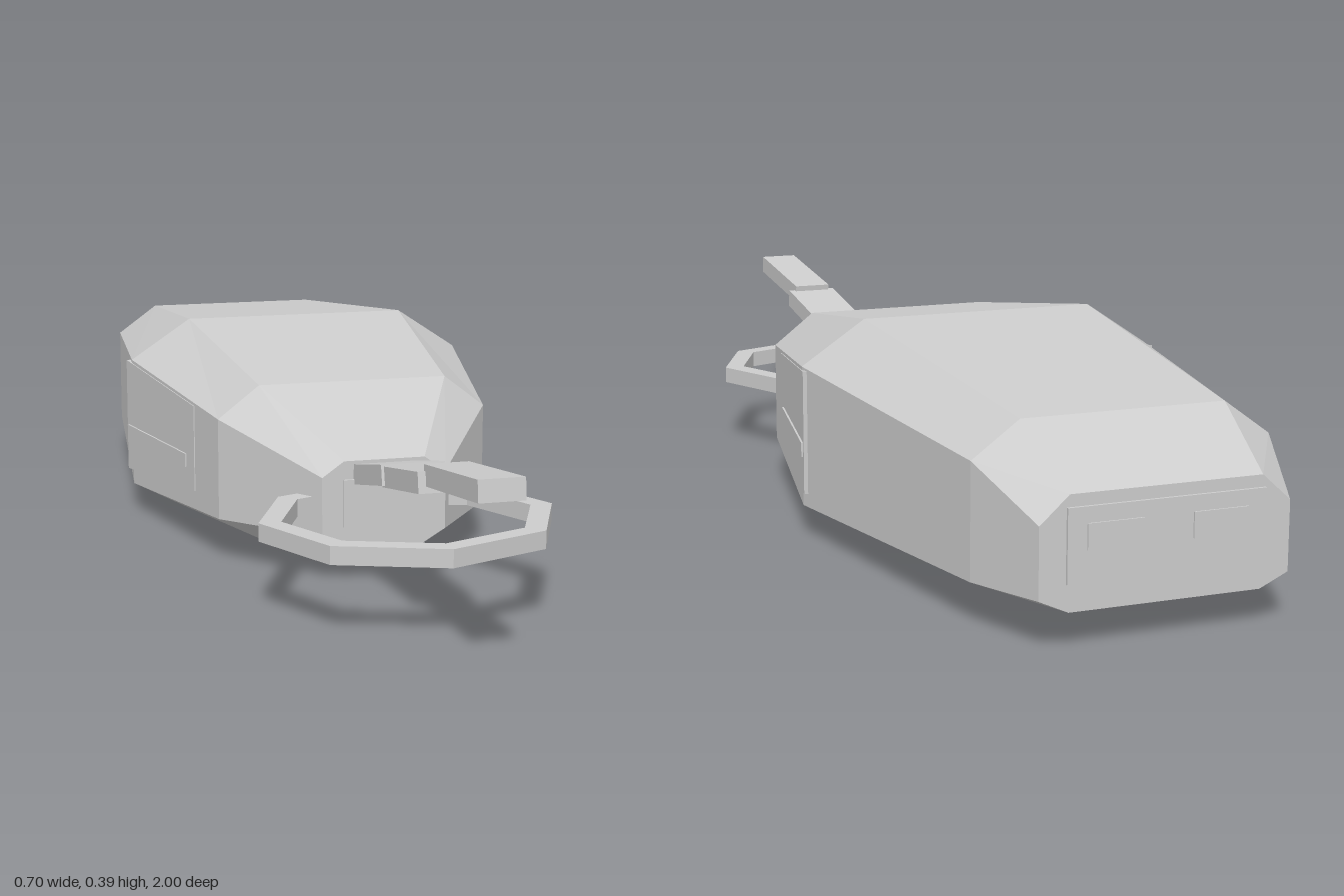
import * as THREE from 'three';

export function createModel() {
  const model = new THREE.Group();
  const grey = new THREE.MeshStandardMaterial({ color: 0xcccccc, flatShading: true });
  grey.name = 'light grey';

  function add(name, geometry) {
    const mesh = new THREE.Mesh(geometry, grey);
    mesh.name = name;
    model.add(mesh);
    return mesh;
  }
  function box(name, w, h, d, x, y, z) {
    const mesh = add(name, new THREE.BoxGeometry(w, h, d));
    mesh.position.set(x, y, z);
    return mesh;
  }

  // Joins closed sections (counter-clockwise seen from the first one) and caps the ends.
  // The diagonals of the two halves mirror each other.
  function loft(sections) {
    const n = sections[0].length, last = (sections.length - 1) * n, index = [];
    for (let s = 0; s < sections.length - 1; s++) {
      for (let j = 0; j < n; j++) {
        const a = s * n + j, b = s * n + (j + 1) % n;
        if (j < n / 2 - 1) index.push(a, a + n, b + n, a, b + n, b);
        else index.push(a, a + n, b, b, a + n, b + n);
      }
    }
    for (let j = 1; j < n - 1; j++) {
      index.push(0, j, j + 1, last, last + j + 1, last + j);
    }
    const g = new THREE.BufferGeometry();
    g.setAttribute('position', new THREE.Float32BufferAttribute(sections.flat(2), 3));
    g.setIndex(index);
    const flat = g.toNonIndexed();
    flat.computeVertexNormals();
    return flat;
  }

  // Faceted body: z, bottom half width, side half width, top half width, four heights
  const body = [
    [0.395, 0.072, 0.115, 0.075, 0.065, 0.09, 0.197, 0.225],
    [0.19, 0.18, 0.258, 0.18, 0.038, 0.081, 0.27, 0.33],
    [-0.24, 0.248, 0.341, 0.222, 0.007, 0.056, 0.312, 0.391],
    [-0.84, 0.18, 0.263, 0.18, 0.041, 0.075, 0.27, 0.33],
    [-0.992, 0.165, 0.215, 0.165, 0.06, 0.083, 0.2, 0.245],
  ].map(([z, b, s, t, y0, y1, y2, y3]) => [
    [b, y0, z], [s, y1, z], [s, y2, z], [t, y3, z],
    [-t, y3, z], [-s, y2, z], [-s, y1, z], [-b, y0, z],
  ]);
  add('body', loft(body));

  // Thin plates on the nose, underside and tail
  box('nosePlate', 0.154, 0.087, 0.008, 0, 0.148, 0.396);
  box('basePlate', 0.24, 0.009, 0.39, 0, 0.0045, -0.23);
  box('tailPlate', 0.34, 0.12, 0.008, 0, 0.165, -0.993);
  for (const x of [-0.09, 0.09]) {
    box('tailSlot', 0.095, 0.042, 0.004, x, 0.178, -0.998);
  }

  // Side panels and raised strips, lying along the tapering flanks
  const slope = Math.atan2(0.083, 0.43);
  for (const side of [1, -1]) {
    const panel = (lift) => {
      const corners = [
        [0.2795, 0.11, 0.08], [0.2795, 0.275, 0.08],
        [0.346, 0.308, -0.265], [0.346, 0.083, -0.265],
      ].map(([x, y, z]) => [side * (x + lift), y, z]);
      return side > 0 ? corners.reverse() : corners;
    };
    add('sidePanel', loft([panel(0.0015), panel(-0.006)]));

    const strip = box('sideStrip', 0.006, 0.026, 0.305, side * 0.3175, 0.163, -0.107);
    strip.rotation.y = -side * slope;
  }

  // Eight-sided ring lying flat
  const octagon = (path, rx, rz) => {
    for (let i = 0; i < 8; i++) {
      const a = i * Math.PI / 4;
      const x = rx * Math.cos(a), y = rz * Math.sin(a);
      if (i) path.lineTo(x, y); else path.moveTo(x, y);
    }
    path.closePath();
    return path;
  };
  const ringShape = octagon(new THREE.Shape(), 0.265, 0.245);
  ringShape.holes.push(octagon(new THREE.Path(), 0.225, 0.207));
  const ringGeometry = new THREE.ExtrudeGeometry(ringShape, { depth: 0.032, bevelEnabled: false });
  ringGeometry.rotateX(-Math.PI / 2);
  add('keyRing', ringGeometry).position.set(0, 0.128, 0.535);

  // Strap of three overlapping links: width, start z and y, end z and y
  for (const [w, z0, y0, z1, y1] of [
    [0.114, 0.37, 0.195, 0.565, 0.237],
    [0.104, 0.55, 0.231, 0.75, 0.266],
    [0.077, 0.74, 0.276, 0.998, 0.309],
  ]) {
    const link = box('strapLink', w, 0.036, Math.hypot(z1 - z0, y1 - y0),
      0, (y0 + y1) / 2, (z0 + z1) / 2);
    link.rotation.x = -Math.atan2(y1 - y0, z1 - z0);
  }
  return model;
}
